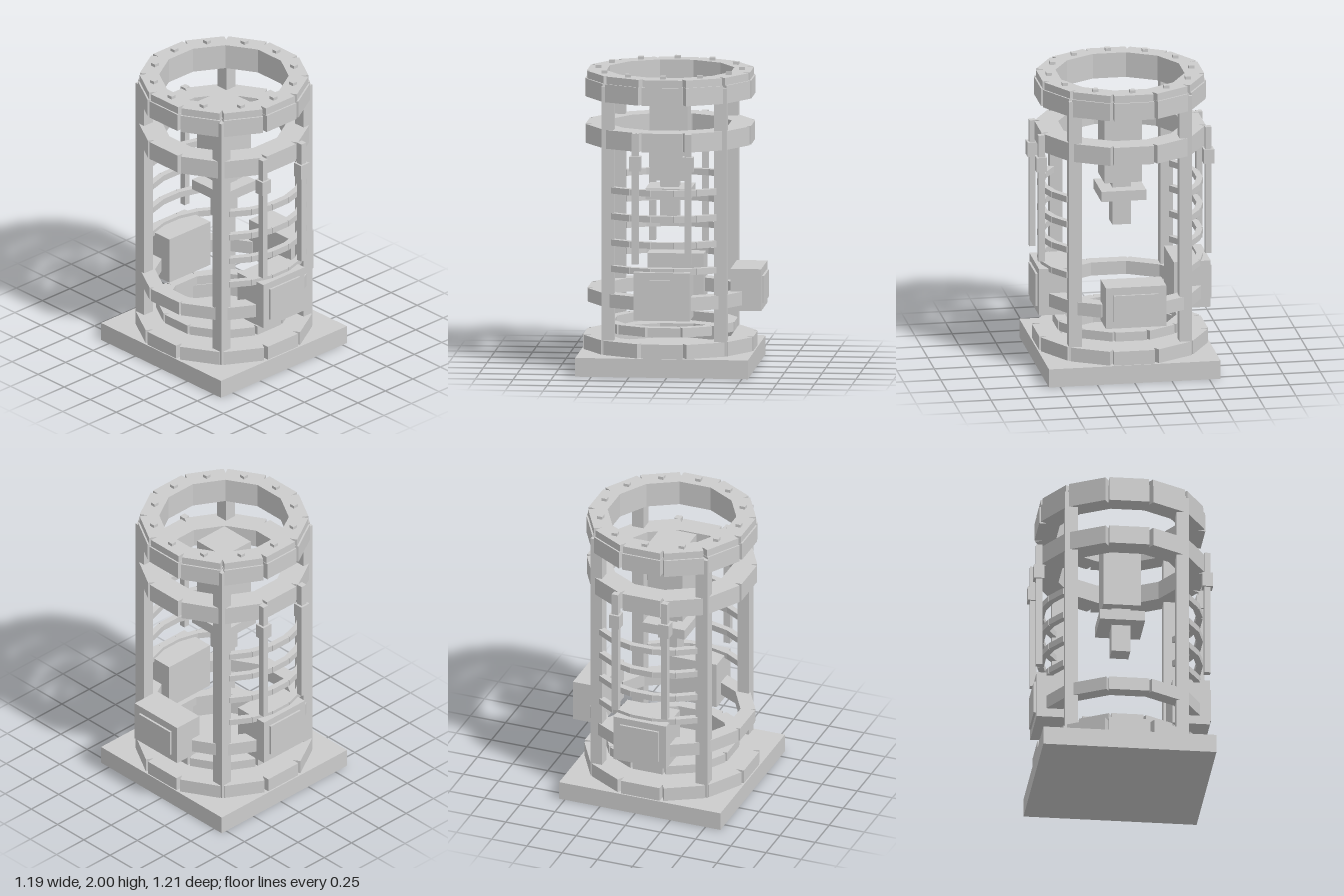
import * as THREE from 'three';

export function createModel() {
  const model = new THREE.Group();
  const metal = new THREE.MeshStandardMaterial({ color: 0xcccccc });
  metal.name = 'plain grey';
  const CZ = 0.033; // the cage axis sits slightly forward of the origin
  const cage = new THREE.Group();
  cage.name = 'cage';
  cage.position.z = CZ;
  model.add(cage);

  // Box from its extents, relative to the cage axis
  function box(name, x0, x1, y0, y1, z0, z1, parent = cage) {
    const mesh = new THREE.Mesh(new THREE.BoxGeometry(x1 - x0, y1 - y0, z1 - z0), metal);
    mesh.position.set((x0 + x1) / 2, (y0 + y1) / 2, (z0 + z1) / 2);
    mesh.name = name;
    parent.add(mesh);
    return mesh;
  }

  // One straight ring segment facing the given angle (0 = front, 90 = left)
  function segment(name, deg, y0, y1, inner, outer, t0, t1, parent = cage) {
    const pivot = new THREE.Group();
    pivot.name = name;
    pivot.rotation.y = THREE.MathUtils.degToRad(deg);
    box(name + 'Bar', t0, t1, y0, y1, inner, outer, pivot);
    parent.add(pivot);
  }

  function ring(name, y0, y1, inner, outer, half) {
    const group = new THREE.Group();
    group.name = name;
    for (let i = 0; i < 12; i++) segment(name + 'Segment', i * 30, y0, y1, inner, outer, -half, half, group);
    cage.add(group);
  }

  // Base and full rings
  box('basePlate', -0.575, 0.575, 0, 0.125, -0.573, 0.573);
  ring('baseRing', 0.125, 0.22, 0.413, 0.565, 0.137);
  ring('lowerRing', 0.25, 0.312, 0.363, 0.435, 0.107);
  ring('upperRing', 1.5, 1.625, 0.396, 0.549, 0.134);
  ring('topRing', 1.81, 1.93, 0.413, 0.552, 0.134);
  ring('topCap', 1.93, 1.98, 0.413, 0.541, 0.131);

  // Bolts on the top cap
  for (let i = 0; i < 12; i++) {
    const a = (i * Math.PI) / 6, x = 0.476 * Math.sin(a), z = 0.476 * Math.cos(a);
    box('bolt', x - 0.0185, x + 0.0185, 1.975, 2, z - 0.0185, z + 0.0185);
  }

  // Middle ring, interrupted by the side and rear boxes
  for (const deg of [-30, 0, 30]) segment('middleRing', deg, 0.44, 0.53, 0.44, 0.537, -0.135, 0.135);
  for (const s of [-1, 1]) {
    const cut = (deg, a, b) =>
      segment('middleRing', s * deg, 0.44, 0.53, 0.44, 0.537, Math.min(s * a, s * b), Math.max(s * a, s * b));
    cut(60, -0.135, 0.09);
    cut(120, -0.09, 0.135);
    cut(150, -0.135, 0.066);
  }

  for (const s of [-1, 1]) {
    const side = (name, x0, x1, ...rest) => box(name, Math.min(s * x0, s * x1), Math.max(s * x0, s * x1), ...rest);

    for (const f of [-1, 1]) {
      // Corner posts
      side('cornerPost', 0.328, 0.412, 0.125, 1.915, f * 0.374 - 0.041, f * 0.374 + 0.041);
      // Vertical rods with clamps
      side('sideRod', 0.538, 0.58, 0.755, 1.625, f * 0.175 - 0.022, f * 0.175 + 0.022);
      side('rodClamp', 0.525, 0.595, 1.377, 1.475, f * 0.175 - 0.037, f * 0.175 + 0.037);
    }

    // Curved side rails made of five short bars each
    for (const y of [0.68, 0.855, 1.03, 1.203])
      for (let i = -2; i <= 2; i++) segment('sideRail', s * 90 + i * 16, y, y + 0.042, 0.5, 0.542, -0.074, 0.074);

    // Side boxes with raised covers
    side('sideBox', 0.328, 0.575, 0.38, 0.7, -0.187, 0.187);
    side('sideCover', 0.57, 0.589, 0.43, 0.653, -0.137, 0.137);
  }

  // Rear box with raised cover
  box('rearBox', -0.202, 0.202, 0.4, 0.68, -0.623, -0.42);
  box('rearCover', -0.15, 0.15, 0.447, 0.628, -0.638, -0.62);

  // Hanging central tool
  box('toolBody', -0.125, 0.125, 1.25, 1.78, -0.125, 0.125);
  box('toolNeck', -0.062, 0.062, 1.19, 1.26, -0.062, 0.062);
  box('toolFlange', -0.15, 0.15, 1.13, 1.2, -0.15, 0.15);
  box('toolTip', -0.062, 0.062, 0.942, 1.14, -0.062, 0.062);

  return model;
}
